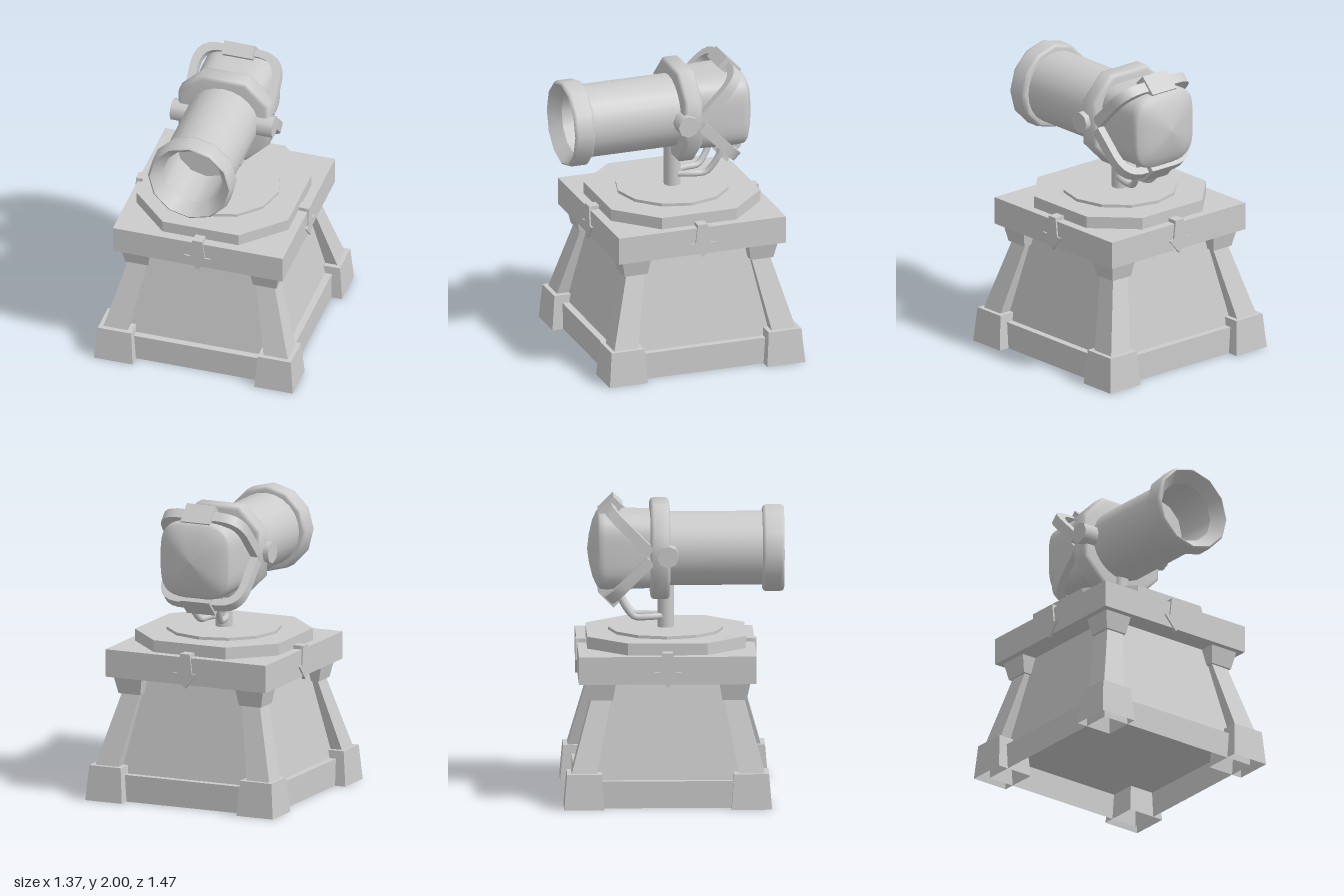
import * as THREE from 'three';
import { toCreasedNormals } from 'three/addons/utils/BufferGeometryUtils.js';

const CZ = -0.045;  // centre of the pedestal in z
const AY = 1.635;   // height of the barrel axis
const flat = new THREE.MeshStandardMaterial({ color: 0xcccccc, flatShading: true });
const shell = new THREE.MeshStandardMaterial({ color: 0xcccccc, flatShading: true, side: THREE.DoubleSide });
const smooth = new THREE.MeshStandardMaterial({ color: 0xcccccc, side: THREE.DoubleSide });

function add(parent, name, geometry, material = flat, x = 0, y = 0, z = 0) {
  const mesh = new THREE.Mesh(geometry, material);
  mesh.name = name;
  mesh.position.set(x, y, z);
  parent.add(mesh);
  return mesh;
}

// Box spanning lo0..hi0 in x and z at y0, and lo1..hi1 at y1
function taper(y0, lo0, hi0, y1, lo1, hi1) {
  const g = new THREE.BoxGeometry(1, 1, 1);
  const p = g.attributes.position;
  for (let i = 0; i < p.count; i++) {
    const up = p.getY(i) > 0;
    const [lo, hi] = up ? [lo1, hi1] : [lo0, hi0];
    p.setXYZ(i, p.getX(i) > 0 ? hi : lo, up ? y1 : y0, p.getZ(i) > 0 ? hi : lo);
  }
  g.computeVertexNormals();
  return g;
}

// Drops the underside of a box so it becomes a hollow shell
function openBelow(g) {
  const index = Array.from(g.index.array);
  index.splice(18, 6);
  g.setIndex(index);
  g.clearGroups();
  return g;
}

// Square of half size h with its corners cut, leaving flats of half length f
function cutSquare(h, f) {
  return new THREE.Shape([[f, h], [-f, h], [-h, f], [-h, -f], [-f, -h], [f, -h], [h, -f], [h, f]]
    .map(([x, y]) => new THREE.Vector2(x, y)));
}

// Turned part along z from [radius, z] points
function turned(points, segments) {
  const g = new THREE.LatheGeometry(points.map(([r, z]) => new THREE.Vector2(r, z)), segments);
  return g.rotateX(Math.PI / 2);
}

// Rounded-square cross-sections [z, half size] joined along z
function roundedLoft(sections, n) {
  const pos = [], index = [];
  const curve = (v) => Math.sign(v) * Math.pow(Math.abs(v), 0.55);
  sections.forEach(([z, h], s) => {
    for (let i = 0; i < n; i++) {
      const a = ((i + 0.5) / n) * Math.PI * 2;
      pos.push(h * curve(Math.cos(a)), h * curve(Math.sin(a)), z);
      if (s === 0) continue;
      const j = (i + 1) % n, a0 = (s - 1) * n, b0 = s * n;
      index.push(a0 + i, b0 + i, a0 + j, a0 + j, b0 + i, b0 + j);
    }
  });
  const g = new THREE.BufferGeometry();
  g.setAttribute('position', new THREE.Float32BufferAttribute(pos, 3));
  g.setIndex(index);
  g.computeVertexNormals();
  return g;
}

function createPedestal() {
  const base = new THREE.Group();
  base.name = 'pedestal';
  base.position.z = CZ;
  add(base, 'skirting', openBelow(taper(0, -0.612, 0.612, 0.18, -0.612, 0.612)), shell);
  add(base, 'walls', openBelow(taper(0.18, -0.565, 0.565, 0.83, -0.44, 0.44)));
  add(base, 'slab', new THREE.BoxGeometry(1.174, 0.185, 1.174), flat, 0, 0.9175, 0);

  // Corner posts with hollow feet
  for (let i = 0; i < 4; i++) {
    const corner = new THREE.Group();
    corner.name = 'cornerPost';
    corner.rotation.y = (i * Math.PI) / 2;
    add(corner, 'foot', openBelow(taper(0, 0.42, 0.687, 0.235, 0.437, 0.667)), shell);
    add(corner, 'leg', openBelow(taper(0.235, 0.47, 0.637, 0.71, 0.375, 0.505)));
    add(corner, 'capital', taper(0.707, 0.362, 0.522, 0.826, 0.342, 0.547));
    base.add(corner);
  }

  // Arrow clips hooked over each slab edge
  const arrow = new THREE.Shape([[0.035, 1.035], [-0.035, 1.035], [-0.05, 0.905], [-0.09, 0.905],
    [0, 0.803], [0.09, 0.905], [0.05, 0.905]].map(([x, y]) => new THREE.Vector2(x, y)));
  for (let i = 0; i < 4; i++) {
    const clip = new THREE.Group();
    clip.name = 'arrowClip';
    clip.rotation.y = (i * Math.PI) / 2;
    add(clip, 'arrow', new THREE.ExtrudeGeometry(arrow, { depth: 0.025, bevelEnabled: false }), flat, 0, 0, 0.573);
    add(clip, 'hook', new THREE.BoxGeometry(0.07, 0.03, 0.06), flat, 0, 1.02, 0.55);
    base.add(clip);
  }

  // Turntable
  const plate = new THREE.ExtrudeGeometry(cutSquare(0.525, 0.263), { depth: 0.08, bevelEnabled: false });
  add(base, 'platform', plate.rotateX(-Math.PI / 2), flat, 0, 1.01, 0);
  add(base, 'disc', new THREE.CylinderGeometry(0.38, 0.38, 0.02, 12).rotateY(Math.PI / 2), flat, 0, 1.1, 0);
  add(base, 'post', new THREE.CylinderGeometry(0.055, 0.055, 0.34, 16), smooth, 0, 1.27, 0);
  return base;
}

function createStrap(angle, y) {
  const strap = new THREE.Group();
  strap.name = 'strap';
  strap.position.set(0, y, -0.15);
  strap.rotation.x = angle;
  // U outline with rounded corners
  const s = new THREE.Shape();
  s.moveTo(0.31, 0);
  s.lineTo(0.31, 0.24);
  s.quadraticCurveTo(0.3, 0.39, 0.16, 0.4);
  s.lineTo(-0.16, 0.4);
  s.quadraticCurveTo(-0.3, 0.39, -0.31, 0.24);
  s.lineTo(-0.31, 0);
  s.lineTo(-0.255, 0);
  s.lineTo(-0.255, 0.22);
  s.quadraticCurveTo(-0.25, 0.34, -0.14, 0.35);
  s.lineTo(0.14, 0.35);
  s.quadraticCurveTo(0.25, 0.34, 0.255, 0.22);
  s.lineTo(0.255, 0);
  const band = new THREE.ExtrudeGeometry(s, { depth: 0.07, bevelEnabled: false, curveSegments: 5 });
  add(strap, 'band', toCreasedNormals(band, 0.7), smooth, 0, 0, -0.035);
  add(strap, 'clasp', new THREE.BoxGeometry(0.21, 0.09, 0.145), flat, 0, 0.37, 0);
  return strap;
}

export function createModel() {
  const model = new THREE.Group();
  model.name = 'pedestalCannon';
  model.add(createPedestal());

  // Barrel and rounded muzzle with a short funnel leading into the bore
  add(model, 'barrel', turned([[0.245, -0.1], [0.245, 0.62]], 24), smooth, 0, AY, 0);
  const lip = [[0.24, 0.592], [0.27, 0.592], [0.285, 0.599], [0.291, 0.616], [0.291, 0.712], [0.286, 0.728], [0.275, 0.735]];
  add(model, 'muzzleRing', turned(lip, 12), smooth, 0, AY, 0);
  add(model, 'funnel', turned([[0.207, 0.655], [0.275, 0.735]], 12), smooth, 0, AY, 0);
  add(model, 'bore', turned([[0.207, 0.35], [0.207, 0.655]], 12), smooth, 0, AY, 0);
  add(model, 'boreEnd', new THREE.CircleGeometry(0.207, 12), flat, 0, AY, 0.35);

  // Collar and side trunnions
  const collar = new THREE.ExtrudeGeometry(cutSquare(0.285, 0.145),
    { depth: 0.08, bevelThickness: 0.025, bevelSize: 0.028, bevelSegments: 3 });
  add(model, 'collar', toCreasedNormals(collar, 0.9), smooth, 0, AY, -0.126);
  for (const side of [-1, 1]) {
    const bolt = new THREE.CylinderGeometry(0.073, 0.073, 0.15, 8).rotateZ(Math.PI / 2);
    add(model, 'trunnion', bolt, smooth, side * 0.277, AY, -0.037);
  }

  // Rear chamber with a shallow dome, held by two straps
  const chamber = [[-0.12, 0.25], [-0.3, 0.256], [-0.45, 0.258], [-0.483, 0.254], [-0.5, 0.24], [-0.53, 0.18], [-0.553, 0.09], [-0.565, 0]];
  add(model, 'chamber', roundedLoft(chamber, 32), smooth, 0, AY, 0);
  model.add(createStrap(-Math.PI / 4, AY + 0.018), createStrap((-3 * Math.PI) / 4, AY - 0.035));

  // Pipes from the post up to the chamber
  for (const side of [-1, 1]) {
    const path = new THREE.CatmullRomCurve3([[0.03, 1.185, -0.07], [0.062, 1.185, -0.16], [0.072, 1.186, -0.24],
      [0.078, 1.2, -0.268], [0.098, 1.3, -0.335], [0.103, 1.42, -0.37]].map(([x, y, z]) => new THREE.Vector3(side * x, y, z)));
    add(model, 'pipe', new THREE.TubeGeometry(path, 18, 0.022, 8), smooth);
  }
  return model;
}
